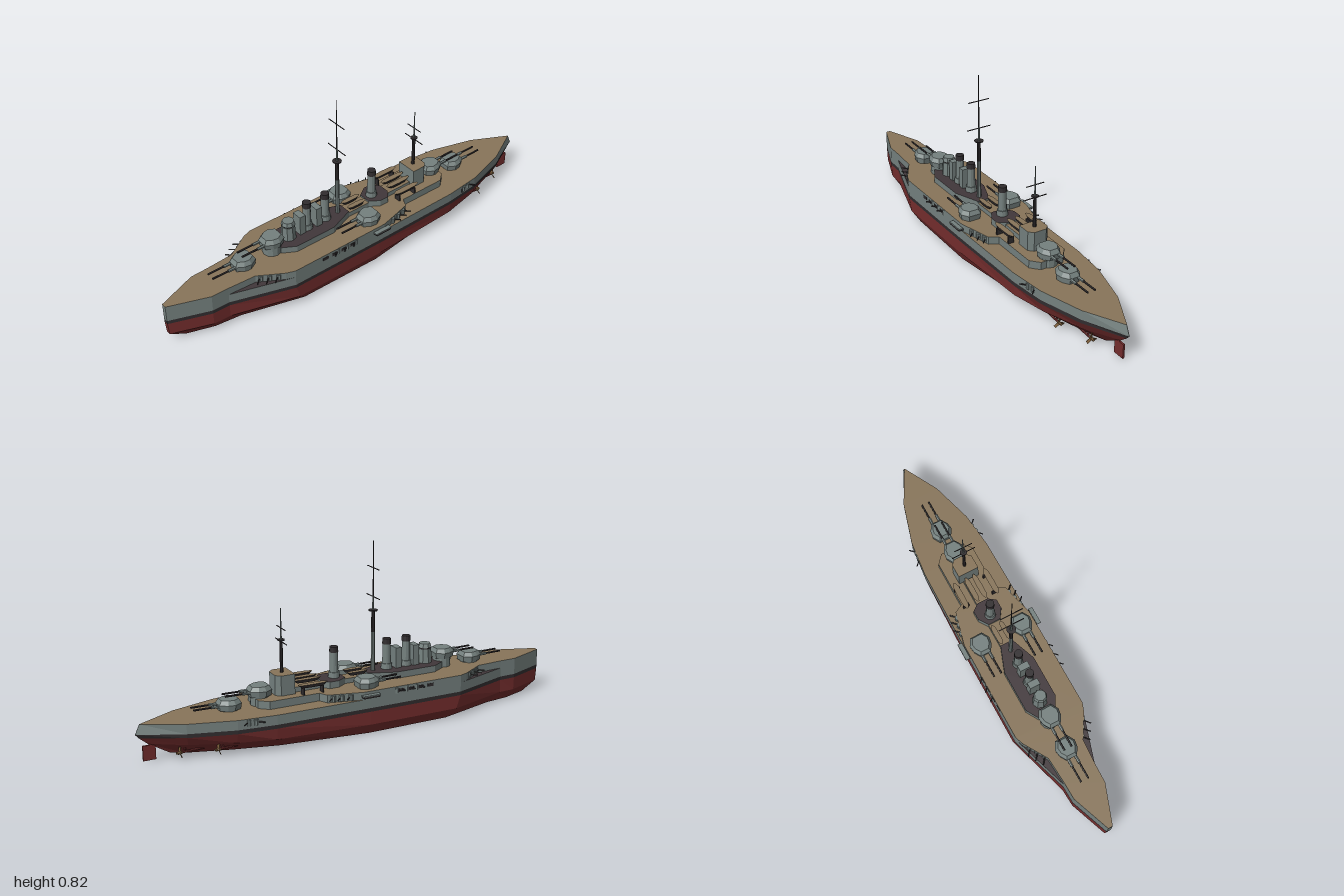
import * as THREE from 'three';

const mat = (name, color) => Object.assign(new THREE.MeshStandardMaterial({ color, flatShading: true }), { name });
const grey = mat('hull grey', 0x75817f);
const red = mat('underwater red', 0x742d2d);
const dark = mat('soot black', 0x302c2e);
const wood = mat('deck wood', 0x88755a);
const brown = mat('dark deck', 0x41373a);
const bronze = mat('propeller bronze', 0x80603c);

export function createModel() {
  const ship = new THREE.Group();
  ship.name = 'battleship';

  function add(geo, material, name, x = 0, y = 0, z = 0, parent = ship) {
    const m = new THREE.Mesh(geo, material);
    m.name = name;
    m.position.set(x, y, z);
    parent.add(m);
    return m;
  }
  const box = (name, m, w, h, d, x, y, z, parent) => add(new THREE.BoxGeometry(w, h, d), m, name, x, y, z, parent);
  const post = (name, m, r0, r1, y0, y1, x, z, sides = 12, parent = ship) =>
    add(new THREE.CylinderGeometry(r1, r0, y1 - y0, sides), m, name, x, (y0 + y1) / 2, z, parent);

  // round bar between two points
  function rod(name, m, a, b, r, parent = ship) {
    const p = new THREE.Vector3(...a), q = new THREE.Vector3(...b);
    const mesh = add(new THREE.CylinderGeometry(r, r, p.distanceTo(q), 6), m, name, 0, 0, 0, parent);
    mesh.position.copy(p).add(q).multiplyScalar(0.5);
    mesh.quaternion.setFromUnitVectors(new THREE.Vector3(0, 1, 0), q.sub(p).normalize());
    return mesh;
  }

  // mirrored horizontal outlines [x, z, y], stern to bow, joined from bottom to top
  function loft(levels, caps = 'both') {
    const v = [];
    const quad = (a, b, c, d) => [a, b, c, a, c, d].forEach(([x, z, y]) => v.push(x, y, z));
    const flip = ([x, z, y]) => [-x, z, y];
    const rings = levels.map(l => [...l, ...l.map(flip).reverse()]);
    for (let k = 0; k + 1 < rings.length; k++) {
      const lo = rings[k], up = rings[k + 1], n = lo.length;
      for (let i = 0; i < n; i++) quad(lo[i], up[i], up[(i + 1) % n], lo[(i + 1) % n]);
    }
    const lo = levels[0], up = levels[levels.length - 1];
    for (let i = 0; i + 1 < lo.length; i++) {
      if (caps === 'both' || caps === 'bottom') quad(lo[i], lo[i + 1], flip(lo[i + 1]), flip(lo[i]));
      if (caps === 'both' || caps === 'top') quad(flip(up[i]), flip(up[i + 1]), up[i + 1], up[i]);
    }
    const g = new THREE.BufferGeometry();
    g.setAttribute('position', new THREE.Float32BufferAttribute(v, 3));
    g.computeVertexNormals();
    return g;
  }
  const at = (outline, y, s = 1) => outline.map(([x, z]) => [x * s, z * s, y]);
  // upright block with its own deck colour
  function block(name, outline, y0, y1, deck) {
    add(loft([at(outline, y0), at(outline, y1)], 'none'), grey, name + 'Sides');
    add(loft([at(outline, y1)], 'top'), deck, name + 'Deck');
  }

  // hull in horizontal bands
  const side = [[0.09, -0.81], [0.147, -0.61], [0.165, -0.44], [0.17, 0], [0.17, 0.46], [0.08, 0.74], [0.078, 0.82], [0.011, 1]];
  const level = (y, stern) => at([[0.001, stern], ...side], y);
  const keel = [[0.001, -0.86, 0.02], [0.012, -0.8, 0.01], [0.05, -0.6, 0], [0.1, -0.4, 0], [0.15, 0, 0],
    [0.145, 0.4, 0], [0.065, 0.68, 0], [0.05, 0.8, 0], [0.01, 0.92, 0]];
  const chine = [[0.001, -0.95, 0.075], [0.07, -0.8, 0.065], [0.13, -0.61, 0.06], [0.16, -0.44, 0.055], [0.17, 0, 0.045],
    [0.17, 0.44, 0.045], [0.08, 0.74, 0.045], [0.076, 0.82, 0.045], [0.011, 0.995, 0.045]];
  add(loft([keel, chine, level(0.105, -0.985)], 'bottom'), red, 'lowerHull');
  add(loft([level(0.105, -0.985), level(0.122, -1)], 'none'), dark, 'waterlineBand');
  add(loft([level(0.122, -1), level(0.165, -0.98)], 'none'), grey, 'upperHull');
  const rim = level(0.165, -0.98);
  add(loft([rim.slice(0, 5)], 'top'), wood, 'aftDeck');
  add(loft([rim.slice(4)], 'top'), brown, 'casemateFloor');

  // raised forecastle, notched for the forward casemates
  block('forecastle', [[0.055, -0.48], [0.09, -0.44], [0.09, -0.21], [0.13, -0.19], [0.17, -0.03], [0.17, 0.46],
    [0.155, 0.5], [0.088, 0.61], [0.08, 0.74], [0.078, 0.82], [0.011, 1]], 0.165, 0.2, wood);

  // superstructure
  block('forwardHouse', [[0.03, 0.06], [0.075, 0.18], [0.075, 0.38], [0.04, 0.44]], 0.2, 0.23, brown);
  block('midHouse', [[0.025, -0.17], [0.06, -0.145], [0.06, -0.1], [0.03, -0.055]], 0.2, 0.23, brown);
  block('midshipTrunk', [[0.03, -0.3], [0.03, 0.06]], 0.2, 0.222, wood);
  block('aftHouse', [[0.03, -0.39], [0.05, -0.37], [0.05, -0.305]], 0.2, 0.29, wood);

  // conning tower
  post('conningTower', grey, 0.034, 0.03, 0.23, 0.295, 0, 0.37, 8);
  post('conningSlit', dark, 0.027, 0.027, 0.295, 0.302, 0, 0.37, 8);
  post('conningRoof', grey, 0.032, 0.026, 0.302, 0.32, 0, 0.37, 8);

  // funnels and their vents
  for (const z of [0.27, 0.17, -0.095]) {
    post('funnelBase', grey, 0.026, 0.024, 0.23, 0.255, 0, z);
    post('funnel', grey, 0.02, 0.018, 0.23, 0.345, 0, z);
    post('funnelCap', dark, 0.02, 0.019, 0.345, 0.37, 0, z);
  }
  for (const z of [0.31, 0.22]) box('ventHousing', grey, 0.05, 0.095, 0.03, 0, 0.277, z);

  // main turrets: x, base y, z, facing
  const plan = [[0.03, -0.047], [0.05, -0.012], [0.045, 0.02], [0.025, 0.052]];
  const turretGeo = loft([at(plan, 0, 0.92), at(plan, 0.026), at(plan, 0.045, 0.76)]);
  for (const [x, y, z, turn] of [[0, 0.205, 0.61, 0], [0, 0.243, 0.46, 0], [0, 0.205, -0.45, Math.PI],
    [0, 0.168, -0.59, Math.PI], [0.105, 0.202, 0.01, 0], [-0.105, 0.202, 0.01, 0]]) {
    const t = new THREE.Group();
    t.name = 'turret';
    t.position.set(x, y, z);
    t.rotation.y = turn;
    ship.add(t);
    add(turretGeo, grey, 'turretHouse', 0, 0, 0, t);
    post('barbette', grey, 0.042, 0.042, -0.042, 0.001, 0, 0, 12, t);
    for (const s of [-0.018, 0.018]) {
      rod('gunBarrel', dark, [s, 0.021, 0.03], [s, 0.023, 0.163], 0.0045, t);
      rod('gunSleeve', grey, [s, 0.021, 0.03], [s, 0.022, 0.085], 0.007, t);
    }
  }

  // foremast
  post('foremastFoot', grey, 0.01, 0.009, 0.23, 0.41, 0, 0.1, 8);
  post('foremastDark', dark, 0.009, 0.008, 0.41, 0.507, 0, 0.1, 8);
  post('foremastTop', dark, 0.02, 0.021, 0.506, 0.511, 0, 0.1);
  post('foreTopmast', grey, 0.005, 0.004, 0.511, 0.575, 0, 0.1, 6);
  post('forePole', dark, 0.003, 0.0015, 0.575, 0.82, 0, 0.1, 6);
  // aft mast
  post('aftMastDark', dark, 0.008, 0.007, 0.29, 0.432, 0, -0.345, 8);
  post('aftMastTop', dark, 0.016, 0.016, 0.432, 0.437, 0, -0.345);
  post('aftPole', grey, 0.004, 0.002, 0.437, 0.573, 0, -0.345, 6);
  // yards
  for (const [w, y, z] of [[0.052, 0.7, 0.1], [0.06, 0.57, 0.1], [0.044, 0.487, -0.345], [0.058, 0.427, -0.345]])
    rod('yard', dark, [-w, y, z], [w, y, z], 0.0022);

  // ship's boats
  function boat(x, y, z, len, w) {
    const o = [[0.15 * w, -len / 2], [w * 0.45, -len * 0.35], [w / 2, 0], [w * 0.45, len * 0.35], [0.15 * w, len / 2]];
    const g = new THREE.Group();
    g.name = 'boat';
    g.position.set(x, y, z);
    ship.add(g);
    add(loft([at(o, 0, 0.75), at(o, 0.014)], 'bottom'), dark, 'boatHull', 0, 0, 0, g);
    add(loft([at(o, 0.014)], 'top'), wood, 'boatCover', 0, 0, 0, g);
  }
  for (const s of [-1, 1]) {
    boat(s * 0.078, 0.232, -0.235, 0.14, 0.028);
    boat(s * 0.02, 0.236, -0.235, 0.13, 0.026);
    boat(s * 0.022, 0.232, 0.01, 0.1, 0.024);
    for (const z of [-0.28, -0.19]) box('boatCradle', dark, 0.03, 0.034, 0.006, s * 0.075, 0.216, z);
    // side launches outside the hull
    box('sideLaunch', dark, 0.022, 0.008, 0.08, s * 0.183, 0.181, -0.007);
    box('launchCover', grey, 0.02, 0.004, 0.085, s * 0.184, 0.187, -0.007);

    // secondary guns: hull x, y, z, reach along z
    const guns = [[0.168, 0.183, 0.13, 0.03], [0.168, 0.183, 0.18, 0.03], [0.168, 0.183, 0.23, 0.03],
      [0.158, 0.183, -0.09, -0.03], [0.149, 0.183, -0.13, -0.03], [0.14, 0.183, -0.165, -0.03],
      [0.152, 0.148, -0.56, -0.03], [0.156, 0.148, -0.53, 0.03],
      [0.14, 0.183, 0.523, 0.035], [0.12, 0.183, 0.555, 0.035], [0.1, 0.183, 0.587, 0.035]];
    for (const [x, y, z, dz] of guns) {
      rod('casemateGun', dark, [s * (x - 0.01), y, z], [s * (x + 0.02), y, z + dz], 0.003);
      post('casemateShield', grey, 0.012, 0.012, y - 0.014, y + 0.012, s * (x - 0.006), z, 8);
    }
    for (const z of [0.13, 0.18, 0.23, 0.28]) box('casemateOpening', dark, 0.004, 0.014, 0.03, s * 0.1695, 0.181, z + 0.02);

    // shafts, struts and propellers
    for (const [x, y, z] of [[0.05, 0.03, -0.83], [0.1, 0.035, -0.68]]) {
      rod('propellerShaft', red, [s * x, y, z], [s * x * 0.95, y + 0.008, z + 0.25], 0.005);
      rod('shaftStrut', red, [s * x, y, z + 0.02], [s * x * 0.8, 0.08, z + 0.03], 0.004);
      rod('propellerHub', bronze, [s * x, y, z - 0.015], [s * x, y, z + 0.008], 0.006);
      for (let i = 0; i < 3; i++) {
        const blade = new THREE.BoxGeometry(0.012, 0.024, 0.003).translate(0, 0.013, 0).rotateY(0.5).rotateZ(i * Math.PI * 2 / 3);
        add(blade, bronze, 'propellerBlade', s * x, y, z);
      }
    }
  }

  // rudder
  box('rudder', red, 0.008, 0.066, 0.055, 0, 0.035, -0.945);
  box('rudderStock', red, 0.006, 0.05, 0.02, 0, 0.085, -0.935);
  return ship;
}
